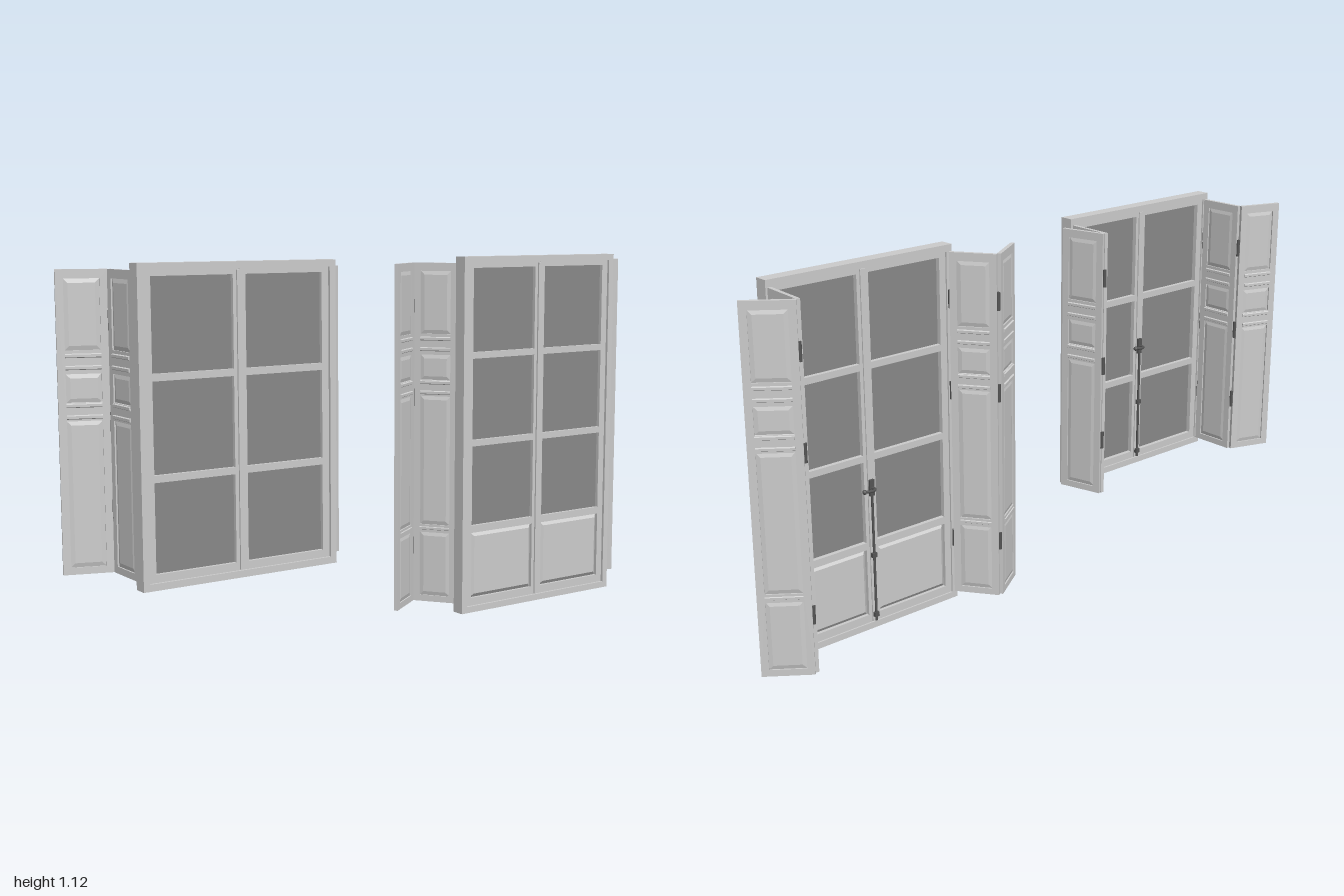
import * as THREE from 'three';

const paint = new THREE.MeshStandardMaterial({ color: 0xcccccc });
const glassMat = new THREE.MeshStandardMaterial({ color: 0x888888 });
const metal = new THREE.MeshStandardMaterial({ color: 0x555555 });

function add(parent, name, geometry, material, x = 0, y = 0, z = 0) {
  const mesh = new THREE.Mesh(geometry, material);
  mesh.name = name;
  mesh.position.set(x, y, z);
  parent.add(mesh);
  return mesh;
}

function box(parent, name, x0, x1, y0, y1, z0, z1, material = paint) {
  return add(parent, name, new THREE.BoxGeometry(x1 - x0, y1 - y0, z1 - z0), material,
    (x0 + x1) / 2, (y0 + y1) / 2, (z0 + z1) / 2);
}

function rect(Type, x0, x1, y0, y1) {
  const s = new Type();
  s.moveTo(x0, y0);
  s.lineTo(x1, y0);
  s.lineTo(x1, y1);
  s.lineTo(x0, y1);
  s.closePath();
  return s;
}

// Flat board with rectangular openings, each given as [x0, x1, y0, y1]
function board(parent, name, [x0, x1, y0, y1], holes, z0, z1) {
  const shape = rect(THREE.Shape, x0, x1, y0, y1);
  holes.forEach(h => shape.holes.push(rect(THREE.Path, ...h)));
  const geometry = new THREE.ExtrudeGeometry(shape, { depth: z1 - z0, bevelEnabled: false });
  return add(parent, name, geometry, paint, 0, 0, z0);
}

// Fielded panel: chamfered on both faces, centred on z
function fielded(parent, name, [x0, x1, y0, y1], z, half, chamfer) {
  const c = chamfer;
  const geometry = new THREE.ExtrudeGeometry(rect(THREE.Shape, x0 + c, x1 - c, y0 + c, y1 - c), {
    depth: half * 0.6, bevelEnabled: true, bevelSegments: 1, bevelSize: c, bevelThickness: half * 0.7,
  });
  add(parent, name, geometry, paint, 0, 0, z - half * 0.3);
}

// Horizontal bead across both faces of a shutter, with sloping edges
function bead(parent, x0, x1, y, height, depth) {
  const s = new THREE.Shape();
  s.moveTo(-depth, -height * 0.2);
  s.lineTo(0, -height / 2);
  s.lineTo(depth, -height * 0.2);
  s.lineTo(depth, height * 0.2);
  s.lineTo(0, height / 2);
  s.lineTo(-depth, height * 0.2);
  s.closePath();
  const geometry = new THREE.ExtrudeGeometry(s, { depth: x1 - x0, bevelEnabled: false });
  geometry.rotateY(Math.PI / 2);
  add(parent, 'railMoulding', geometry, paint, x0, y, 0);
}

// One shutter leaf running from a to b, both [x, z]
function shutterLeaf(parent, name, a, b, y0, isDoor) {
  const leaf = new THREE.Group();
  leaf.name = name;
  const dx = b[0] - a[0], dz = b[1] - a[1];
  const w = Math.hypot(dx, dz), t = 0.006, m = 0.022;
  leaf.position.set(a[0], 0, a[1]);
  leaf.rotation.y = Math.atan2(-dz, dx);
  const rows = [[0.88, 1.075], [0.735, 0.815], [0.275, 0.685]];
  if (isDoor) rows.push([0.045, 0.25]);
  const holes = rows.map(([p, q]) => [m, w - m, p, q]);
  board(leaf, 'leafFrame', [0, w, y0, 1.1], holes, -t, t);
  holes.forEach(h => fielded(leaf, 'fieldedPanel', h, 0, 0.0045, 0.012));
  for (const y of [0.865, 0.832, 0.728, 0.696]) bead(leaf, m, w - m, y, 0.018, 0.0105);
  if (isDoor) bead(leaf, m, w - m, 0.263, 0.016, 0.009);
  parent.add(leaf);
}

// Two-leaf folding shutter through three points, with hinges at the frame and the fold
function foldingShutter(parent, name, points, y0, isDoor) {
  const group = new THREE.Group();
  group.name = name;
  shutterLeaf(group, 'innerLeaf', points[0], points[1], y0, isDoor);
  shutterLeaf(group, 'outerLeaf', points[2], points[3], y0, isDoor);
  const fold = [(points[1][0] + points[2][0]) / 2, (points[1][1] + points[2][1]) / 2];
  for (const [x, z] of [points[0], fold]) {
    for (const y of [y0 + 0.18, 0.68, 0.96]) {
      add(group, 'hinge', new THREE.CylinderGeometry(0.006, 0.006, 0.055, 10), metal, x, y, z);
    }
  }
  parent.add(group);
}

// Casement pair in its frame; cx is the centre, z0 the inner face, z1 the outer face
function casement(name, cx, y0, z0, z1, isDoor, handleY) {
  const group = new THREE.Group();
  group.name = name;
  group.position.x = cx;
  const W = 0.315, top = 1.12;
  board(group, 'outerFrame', [-W, W, y0, top], [[-W + 0.02, W - 0.02, y0 + 0.02, top - 0.02]], z0, z1);
  const rows = [[0.825, 1.085], [0.55, 0.805], [0.278, 0.53]];
  for (const side of [-1, 1]) {
    const sash = new THREE.Group();
    sash.name = side < 0 ? 'rightSash' : 'leftSash';
    const span = (p, q) => (side < 0 ? [-q, -p] : [p, q]);
    const [px0, px1] = span(0.02, 0.272);
    const holes = rows.map(([p, q]) => [px0, px1, p, q]);
    const lower = [px0, px1, y0 + 0.045, 0.255];
    if (isDoor) holes.push(lower);
    board(sash, 'sashFrame', [...span(0.0015, W - 0.02), y0 + 0.02, top - 0.02], holes, z0 + 0.005, z1 - 0.008);
    const zm = (z0 + z1) / 2;
    rows.forEach(([p, q]) => box(sash, 'glassPane', px0, px1, p, q, zm - 0.002, zm + 0.002, glassMat));
    if (isDoor) fielded(sash, 'lowerPanel', lower, zm - 0.001, 0.013, 0.012);
    group.add(sash);
  }
  // Cover strip over the meeting stiles
  box(group, 'meetingStrip', -0.009, 0.009, y0 + 0.022, top - 0.022, z0 + 0.001, z0 + 0.006);
  box(group, 'meetingStripOuter', -0.009, 0.009, y0 + 0.022, top - 0.022, z1 - 0.009, z1 - 0.003);

  // Bolt rod with guides and a lever handle on the inner face
  const latch = new THREE.Group();
  latch.name = 'latch';
  const rodLow = y0 + 0.025;
  add(latch, 'boltRod', new THREE.CylinderGeometry(0.004, 0.004, handleY - rodLow, 10), metal,
    0, (handleY + rodLow) / 2, z0 - 0.004);
  for (const y of [rodLow + 0.02, (rodLow + handleY) / 2]) {
    box(latch, 'rodGuide', -0.008, 0.008, y - 0.007, y + 0.007, z0 - 0.009, z0 + 0.002, metal);
  }
  box(latch, 'handlePlate', -0.008, 0.008, handleY - 0.025, handleY + 0.025, z0 - 0.007, z0 + 0.002, metal);
  const lever = new THREE.CatmullRomCurve3([
    [0, handleY, z0], [0, handleY, z0 - 0.02], [0.012, handleY, z0 - 0.027], [0.042, handleY + 0.004, z0 - 0.027],
  ].map(p => new THREE.Vector3(...p)));
  add(latch, 'lever', new THREE.TubeGeometry(lever, 16, 0.0045, 8), metal);
  add(latch, 'leverKnob', new THREE.SphereGeometry(0.007, 12, 8), metal, 0.042, handleY + 0.004, z0 - 0.027);
  group.add(latch);
  return group;
}

export function createModel() {
  const model = new THREE.Group();
  model.name = 'shutteredWindowAndDoor';

  // Window with its folding shutters
  model.add(casement('window', -0.56, 0.235, 0.083, 0.125, false, 0.65));
  foldingShutter(model, 'windowRightShutter',
    [[-0.862, 0.08], [-0.861, -0.068], [-0.864, -0.073], [-0.998, -0.119]], 0.255, false);
  foldingShutter(model, 'windowLeftShutter',
    [[-0.258, 0.08], [-0.252, -0.066], [-0.243, -0.064], [-0.207, 0.074]], 0.255, false);

  // Glazed double door with its folding shutters
  model.add(casement('door', 0.556, 0, 0.07, 0.112, true, 0.45));
  foldingShutter(model, 'doorRightShutter',
    [[0.253, 0.066], [0.171, -0.049], [0.164, -0.049], [0.042, 0.03]], 0.025, true);
  foldingShutter(model, 'doorLeftShutter',
    [[0.861, 0.066], [0.869, -0.08], [0.877, -0.083], [0.996, 0.006]], 0.025, true);
  return model;
}
